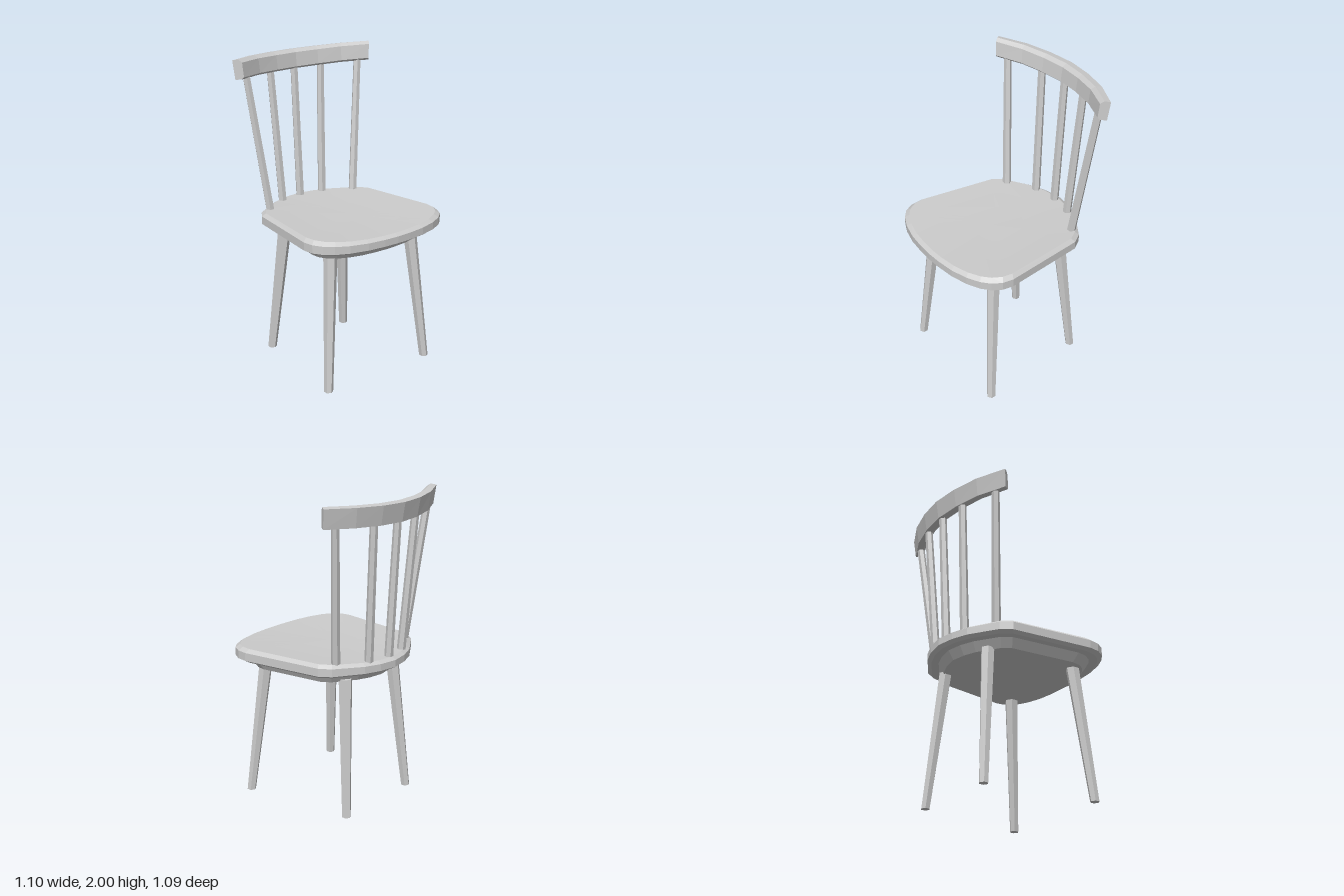
import * as THREE from 'three';

const material = new THREE.MeshStandardMaterial({ color: 0xcccccc, flatShading: true });

function addMesh(parent, name, geometry) {
  const mesh = new THREE.Mesh(geometry, material);
  mesh.name = name;
  parent.add(mesh);
}

// Skins a list of equal-length closed rings and closes both ends with fans.
// Rings run counter-clockwise when looking back from the last ring.
function loft(rings) {
  const n = rings[0].length;
  const points = rings.flat();
  const index = [];
  for (let r = 0; r < rings.length - 1; r++) {
    for (let i = 0; i < n; i++) {
      const j = (i + 1) % n, a = r * n, b = a + n;
      index.push(a + i, a + j, b + i, a + j, b + j, b + i);
    }
  }
  const cap = (ring, start, isLast) => {
    const centre = ring.reduce((s, p) => s.add(p), new THREE.Vector3()).divideScalar(n);
    const c = points.push(centre) - 1;
    for (let i = 0; i < n; i++) {
      const j = (i + 1) % n;
      if (isLast) index.push(c, start + i, start + j);
      else index.push(c, start + j, start + i);
    }
  };
  cap(rings[0], 0, false);
  cap(rings[rings.length - 1], (rings.length - 1) * n, true);
  const g = new THREE.BufferGeometry().setFromPoints(points);
  g.setIndex(index);
  const flat = g.toNonIndexed();
  flat.computeVertexNormals();
  return flat;
}

// Tapered six-sided rod between two points, turned by an angle.
function rod(bottom, top, rBottom, rTop, turn) {
  const ring = ([x, y, z], r) => Array.from({ length: 6 }, (_, i) => {
    const t = turn - i * Math.PI / 3;
    return new THREE.Vector3(x + r * Math.cos(t), y, z + r * Math.sin(t));
  });
  return loft([ring(bottom, rBottom), ring(top, rTop)]);
}

// Seat: one outline, scaled up through apron, rim and gently dished top.
function seatGeometry() {
  const half = [[0.547, 0], [0.543, 0.1], [0.53, 0.22], [0.5, 0.335], [0.46, 0.42], [0.415, 0.475],
    [0.355, 0.51], [0.285, 0.52], [-0.255, 0.447], [-0.325, 0.4], [-0.44, 0.225], [-0.48, 0.12], [-0.5, 0]];
  const mirrored = half.slice(1, -1).reverse().map(([x, z]) => [x, -z]);
  const outline = [...half, ...mirrored].reverse();
  const cx = 0.0225;
  const ring = (s, y, dip) => outline.map(([x, z]) => {
    const k = z * s / 0.48;
    return new THREE.Vector3(cx + (x - cx) * s, y - dip * Math.max(0, 1 - k * k), z * s);
  });
  return loft([
    ring(0.79, 0.875, 0), ring(0.86, 0.932, 0), ring(0.95, 0.932, 0), ring(1, 0.948, 0),
    ring(1, 1.0, 0.008), ring(0.95, 1.022, 0.014),
    ring(0.65, 1.022, 0.014), ring(0.33, 1.022, 0.014),
  ]);
}

// Top rail: bevelled section swept along a curved back line.
function railGeometry() {
  // [x, z, inward normal x, inward normal z, rise]
  const half = [[-0.55, 0, 1, 0, 0], [-0.53, 0.18, 0.98, -0.2, 0.002],
    [-0.48, 0.36, 0.9, -0.42, 0.008], [-0.388, 0.545, 0.76, -0.62, 0.015]];
  const stations = [
    ...half.slice(1).reverse().map(([x, z, nx, nz, e]) => [x, -z, nx, -nz, e]), ...half];
  // [depth from the back, height]
  const section = [[0, 1.978], [0.02, 1.858], [0.07, 1.862], [0.087, 1.876],
    [0.075, 1.967], [0.045, 1.985]];
  return loft(stations.map(([x, z, nx, nz, e]) => section.map(([d, y]) => {
    const w = d * (1 - e * 10);
    return new THREE.Vector3(x + nx * w, y + e, z + nz * w);
  })));
}

export function createModel() {
  const chair = new THREE.Group();
  chair.name = 'chair';
  addMesh(chair, 'seat', seatGeometry());
  addMesh(chair, 'topRail', railGeometry());

  // Splayed legs; the seat faces +x, so its own left is toward -z
  for (const [side, s] of [['Left', -1], ['Right', 1]]) {
    addMesh(chair, `frontLeg${side}`, rod([0.372, 0, 0.405 * s], [0.293, 0.89, 0.325 * s], 0.029, 0.044, 0));
    addMesh(chair, `backLeg${side}`, rod([-0.368, 0, 0.31 * s], [-0.295, 0.89, 0.237 * s], 0.029, 0.044, 0));
  }

  // Fanned back spindles: [bottom x, bottom z, top x, top z]
  const spindles = [[-0.445, 0, -0.497, 0]];
  for (const s of [1, -1]) {
    spindles.push([-0.418, 0.163 * s, -0.478, 0.203 * s]);
    spindles.push([-0.305, 0.34 * s, -0.39, 0.447 * s]);
  }
  spindles.forEach(([bx, bz, tx, tz], i) =>
    addMesh(chair, `spindle${i + 1}`, rod([bx, 0.98, bz], [tx, 1.9, tz], 0.028, 0.025, Math.PI / 6)));

  return chair;
}
